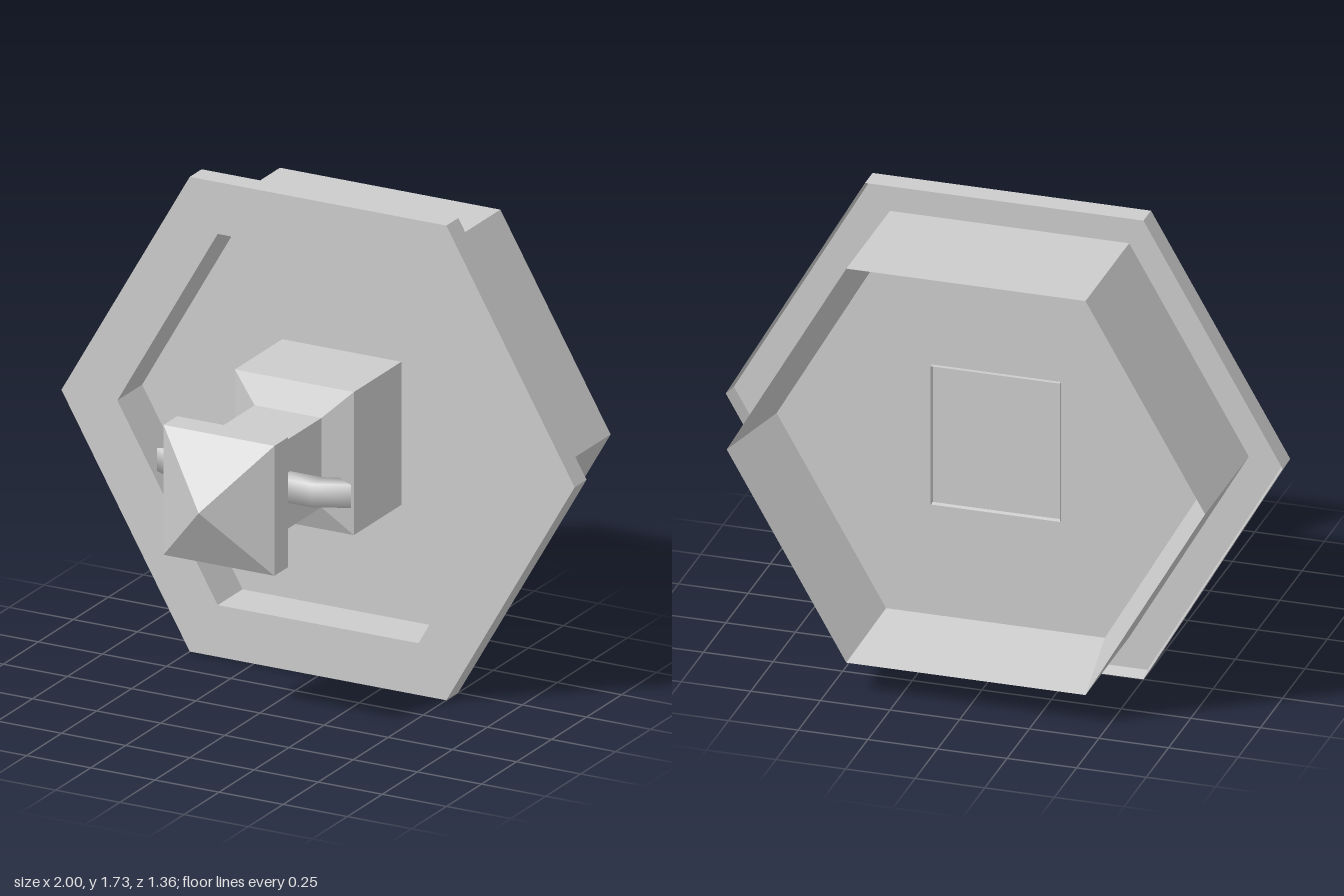
import * as THREE from 'three';

const CY = 0.866; // height of the central axis
const CX = -0.004; // the latch sits a touch off centre

const flat = new THREE.MeshStandardMaterial({ color: 0xcccccc, flatShading: true });
const smooth = new THREE.MeshStandardMaterial({ color: 0xcccccc });

function addMesh(parent, name, geometry, material) {
  const mesh = new THREE.Mesh(geometry, material);
  mesh.name = name;
  parent.add(mesh);
  return mesh;
}

function faceted(geometry) {
  const geo = geometry.toNonIndexed();
  geo.computeVertexNormals();
  return geo;
}

// Rectangular sections [z, half width, half height] joined in order along z
function rectLoft(sections) {
  const points = sections.map((_, i) => new THREE.Vector2(Math.SQRT2, i));
  const geo = new THREE.LatheGeometry(points, 4, Math.PI / 4).rotateX(Math.PI / 2);
  const p = geo.attributes.position;
  for (let i = 0; i < p.count; i++) {
    const [z, w, h] = sections[Math.round(p.getZ(i))];
    p.setXYZ(i, Math.sign(p.getX(i)) * w, Math.sign(p.getY(i)) * h, z);
  }
  return faceted(geo);
}

// Hexagonal flange and rear skirt: sharp rear rims, recessed on both sides around a thin web
function hexHousing() {
  const profile = [
    [0, -0.348], [0.786, -0.348], [0.859, -0.68], [0.859, -0.19], [0.99, -0.19], [1, -0.25],
    [1, -0.165], [0.782, -0.165], [0.782, -0.342], [0, -0.342],
  ].map(([r, z]) => new THREE.Vector2(r, z));
  return faceted(new THREE.LatheGeometry(profile, 6, Math.PI / 2).rotateX(Math.PI / 2));
}

// Square open tube: straight out along x, then bent backwards at the tip
function pegGeometry() {
  // each ring: centre x, centre z, half-width vector in x and z
  const rings = [
    [0.1, 0.305, 0, 0.04],
    [0.255, 0.305, 0, 0.04],
    [0.343, 0.2625, 0.035, 0.0225],
  ];
  const geo = new THREE.CylinderGeometry(1, 1, 2, 4, 2, true, Math.PI / 4);
  geo.rotateZ(-Math.PI / 2); // cylinder axis to +x
  const p = geo.attributes.position;
  for (let i = 0; i < p.count; i++) {
    const [x, z, dx, dz] = rings[Math.round(p.getX(i)) + 1];
    const side = Math.sign(p.getZ(i));
    p.setXYZ(i, x + side * dx, Math.sign(p.getY(i)) * 0.042, z + side * dz);
  }
  geo.computeVertexNormals();
  // share normals across the seam so the shading stays smooth
  const n = geo.attributes.normal;
  for (let ring = 0; ring < 3; ring++) {
    const a = ring * 5, b = a + 4;
    const v = new THREE.Vector3().fromBufferAttribute(n, a)
      .add(new THREE.Vector3().fromBufferAttribute(n, b)).normalize();
    n.setXYZ(a, v.x, v.y, v.z);
    n.setXYZ(b, v.x, v.y, v.z);
  }
  return geo;
}

export function createModel() {
  const model = new THREE.Group();
  model.name = 'hexagonalLatch';

  addMesh(model, 'hexHousing', hexHousing(), flat).position.y = CY;

  const latch = new THREE.Group();
  latch.name = 'latch';
  latch.position.set(CX, CY + 0.002, 0);
  model.add(latch);

  const base = [0.232, 0.261], shaft = [0.13, 0.163], head = [0.216, 0.237];

  // Base block with a chamfered front and a thin raised rim behind the web
  addMesh(latch, 'base', rectLoft([
    [-0.349, 0, 0], [-0.349, 0.228, 0.257], [-0.363, ...base], [-0.003, ...base], [0.042, ...shaft],
  ]), flat);

  addMesh(latch, 'shaft', rectLoft([[0.042, ...shaft], [0.5, ...shaft]]), flat);

  // Pointed head, hollowed at the back around the shaft
  addMesh(latch, 'head', rectLoft([
    [0.485, ...shaft], [0.485, 0.208, 0.229], [0.437, ...head], [0.535, ...head], [0.68, 0, 0],
  ]), flat);

  // Bent pegs on both sides of the shaft
  const peg = pegGeometry();
  addMesh(latch, 'leftPeg', peg, smooth);
  addMesh(latch, 'rightPeg', peg, smooth).rotation.z = Math.PI;

  return model;
}
